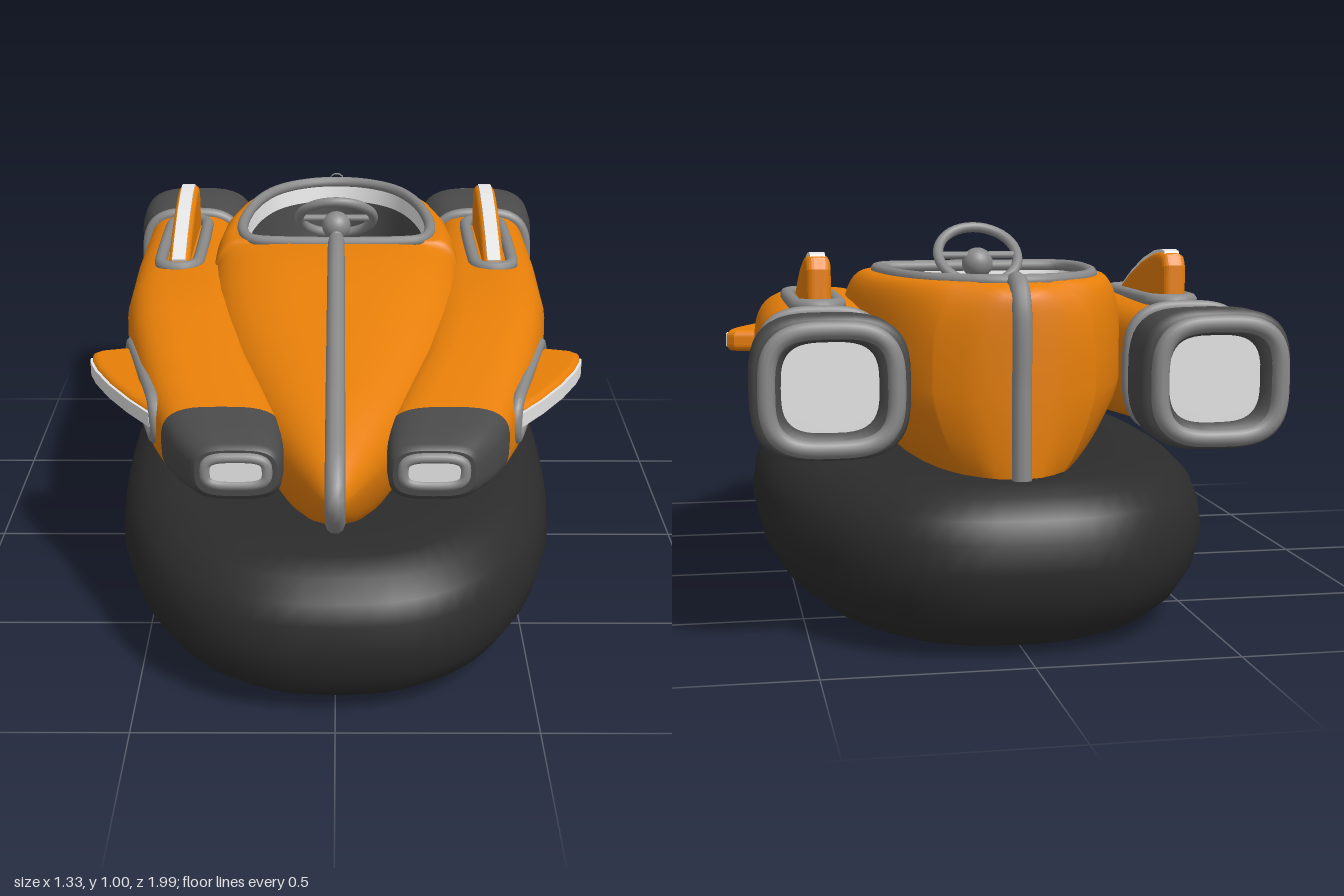
import * as THREE from 'three';

const mat = (name, color, side = THREE.FrontSide) => {
  const m = new THREE.MeshStandardMaterial({ color, side });
  m.name = name;
  return m;
};
const V = (x, y, z) => new THREE.Vector3(x, y, z);

// Skin through a list of equal-length point rings; optional split into two material groups
function loft(rings, closed = true, splitRing = 0) {
  const n = rings[0].length, last = closed ? n : n - 1, index = [];
  for (let i = 0; i < rings.length - 1; i++)
    for (let j = 0; j < last; j++) {
      const k = (j + 1) % n, a = i * n + j, b = i * n + k, c = a + n, d = b + n;
      index.push(a, c, b, b, c, d);
    }
  const g = new THREE.BufferGeometry().setFromPoints(rings.flat());
  g.setIndex(index);
  g.computeVertexNormals();
  if (splitRing) {
    const cut = splitRing * last * 6;
    g.addGroup(0, cut, 0);
    g.addGroup(cut, index.length - cut, 1);
  }
  return g;
}

const power = (v, e) => Math.sign(v) * Math.abs(v) ** e;

// Rounded rectangle ring in an xy plane
function roundRing(z, cx, cy, hw, hh, e = 0.62, n = 40) {
  return Array.from({ length: n }, (_, i) => {
    const t = (i / n) * Math.PI * 2;
    return V(cx + hw * power(Math.cos(t), e), cy + hh * power(Math.sin(t), e), z);
  });
}

// Full oval ring in an xz plane
const oval = (y, rx, rz, e, n = 72) => roundRing(0, 0, 0, rx, rz, e, n).map((p) => V(p.x, y, p.y));

// Straight-sided slot ring in an xz plane
function slot(r, half, n = 32) {
  return Array.from({ length: n }, (_, i) => {
    const t = ((i + 0.5) / n) * Math.PI * 2;
    return V(r * Math.cos(t), 0, r * Math.sin(t) + Math.sign(Math.sin(t)) * half);
  });
}

const tube = (pts, r, closed = true) =>
  new THREE.TubeGeometry(new THREE.CatmullRomCurve3(pts, closed), closed ? 80 : 60, r, 10, closed);
const plate = (ring) => new THREE.ShapeGeometry(new THREE.Shape(ring.map((p) => new THREE.Vector2(p.x, p.y))));

export function createModel() {
  const model = new THREE.Group();
  model.name = 'hovercraft';
  const orange = mat('orange paint', 0xe98009);
  const rubber = mat('black rubber', 0x2c2c2c, THREE.DoubleSide);
  const dark = mat('dark grey', 0x4a4a4a, THREE.DoubleSide);
  const trim = mat('grey trim', 0x8a8a8a);
  const light = mat('light grey', 0xe4e4e4, THREE.DoubleSide);

  const add = (parent, name, geometry, material, x = 0, y = 0, z = 0) => {
    const m = new THREE.Mesh(geometry, material);
    m.name = name;
    m.position.set(x, y, z);
    parent.add(m);
    return m;
  };

  // Inflated skirt: inset and height of each ring, outside up and inside down
  const skirt = [[0.18, 0], [0.12, 0.025], [0.06, 0.075], [0.02, 0.14], [0, 0.22], [0.01, 0.29], [0.03, 0.34],
    [0.075, 0.385], [0.14, 0.41], [0.25, 0.412], [0.4, 0.412], [0.44, 0.4], [0.36, 0.36], [0.29, 0.26], [0.23, 0.12], [0.18, 0]];
  add(model, 'skirt', loft(skirt.map(([d, y]) => oval(y, 0.6 - d, 0.997 - d, 0.8))), rubber);

  // Hull sections: z, half width, top, bottom, cockpit half width, roundness
  const hull = [
    [0.985, 0.006, 0.625, 0.605, 0, 1], [0.96, 0.03, 0.655, 0.575, 0, 1], [0.92, 0.055, 0.68, 0.54, 0, 0.95],
    [0.85, 0.092, 0.705, 0.495, 0, 0.9], [0.75, 0.14, 0.735, 0.445, 0, 0.85], [0.65, 0.187, 0.76, 0.405, 0, 0.8],
    [0.5, 0.245, 0.79, 0.37, 0, 0.74], [0.35, 0.297, 0.82, 0.36, 0, 0.68], [0.2, 0.335, 0.85, 0.36, 0, 0.62],
    [0.05, 0.358, 0.872, 0.36, 0, 0.57], [-0.06, 0.365, 0.88, 0.36, 0, 0.52], [-0.14, 0.365, 0.88, 0.36, 0, 0.47],
    [-0.145, 0.365, 0.88, 0.36, 0.225, 0.6], [-0.17, 0.365, 0.88, 0.36, 0.255, 0.6], [-0.25, 0.363, 0.88, 0.36, 0.275, 0.6],
    [-0.4, 0.35, 0.88, 0.36, 0.268, 0.6], [-0.55, 0.315, 0.88, 0.36, 0.236, 0.6], [-0.65, 0.275, 0.88, 0.36, 0.19, 0.6],
    [-0.71, 0.235, 0.88, 0.36, 0.13, 0.6], [-0.745, 0.205, 0.88, 0.36, 0.05, 0.6], [-0.75, 0.2, 0.88, 0.36, 0, 0.6],
    [-0.79, 0.14, 0.87, 0.36, 0, 0.6], [-0.815, 0.085, 0.855, 0.36, 0, 0.6], [-0.83, 0.0, 0.835, 0.36, 0, 0.6],
  ];
  const hullRings = hull.map(([z, w, top, bottom, r, e]) =>
    Array.from({ length: 49 }, (_, i) => {
      const t = Math.PI / 2 + (i / 48) * Math.PI * 2, s = i < 24 ? -1 : 1;
      const c = Math.abs(Math.cos(t)), v = Math.sin(t);
      const x = v >= 0 ? r + (w - r) * c ** e : w * c ** 0.4 * (1 + 0.35 * v);
      return V(s * x, 0.615 + (v >= 0 ? top - 0.615 : 0.615 - bottom) * power(v, v >= 0 ? e : 0.8), z);
    }));
  add(model, 'hull', loft(hullRings, false), orange);

  // Centre stripe over the nose and down the tail
  add(model, 'noseStripe', tube([V(0, 0.885, -0.13), V(0, 0.882, 0), V(0, 0.85, 0.2), V(0, 0.79, 0.5), V(0, 0.735, 0.75),
    V(0, 0.68, 0.92), V(0, 0.615, 0.975), V(0, 0.54, 0.92), V(0, 0.445, 0.75), V(0, 0.4, 0.64)], 0.024, false), trim);
  add(model, 'tailStripe', tube([V(0, 0.88, -0.75), V(0, 0.873, -0.79), V(0, 0.82, -0.825), V(0, 0.62, -0.83),
    V(0, 0.41, -0.835)], 0.024, false), trim);

  // Cockpit rim, light lining, dark tub and floor
  const edge = hull.filter((s) => s[4] > 0).map((s) => [s[4], s[0]]);
  const rim = [...edge.slice().reverse().map(([x, z]) => V(x, 0.88, z)), ...edge.map(([x, z]) => V(-x, 0.88, z))];
  const outline = new THREE.CatmullRomCurve3(rim, true).getSpacedPoints(64).slice(0, 64);
  const level = (y, s) => outline.map((p) => V(p.x * s, y, (p.z + 0.42) * s - 0.42));
  add(model, 'cockpitRim', tube(rim, 0.016), trim);
  add(model, 'cockpitLining', loft([level(0.88, 0.99), level(0.82, 0.96)]), light);
  add(model, 'cockpitTub', loft([level(0.82, 0.96), level(0.66, 0.9)]), dark);
  const floor = plate(level(0.66, 0.9).map((p) => V(p.x, -p.z, 0))).rotateX(-Math.PI / 2);
  add(model, 'cockpitFloor', floor, dark, 0, 0.66, 0);

  // Steering wheel, facing up and back
  const wheel = new THREE.Group();
  wheel.name = 'steeringWheel';
  wheel.position.set(0, 0.915, -0.25);
  wheel.rotation.x = 0.84;
  model.add(wheel);
  add(wheel, 'wheelRim', new THREE.TorusGeometry(0.108, 0.014, 10, 40), trim);
  add(wheel, 'wheelHub', new THREE.SphereGeometry(0.042, 20, 14), trim, 0, -0.01, 0.02);
  add(wheel, 'wheelSpoke', new THREE.CylinderGeometry(0.01, 0.01, 0.21, 10).rotateZ(Math.PI / 2), trim);
  add(wheel, 'wheelColumn', new THREE.CylinderGeometry(0.018, 0.018, 0.17, 12).rotateX(Math.PI / 2), trim, 0, 0, 0.085);

  // Round-edged fin along z with a base ring and a light leading edge
  const extrudeFin = (pts, depth, bevel) => {
    const shape = new THREE.Shape(pts.map(([u, v]) => new THREE.Vector2(u, v)));
    return new THREE.ExtrudeGeometry(shape, { depth, bevelEnabled: bevel > 0, bevelSize: bevel, bevelThickness: bevel, bevelSegments: 5 })
      .translate(0, 0, -depth / 2).rotateY(-Math.PI / 2);
  };
  const makeFin = (name) => {
    const fin = new THREE.Group();
    fin.name = name;
    const top = [[0.2, -0.01], [0.1, 0.035], [-0.01, 0.074], [-0.11, 0.098], [-0.17, 0.104], [-0.198, 0.1]];
    add(fin, 'finBlade', extrudeFin([...top, [-0.207, 0.085], [-0.208, -0.02], [0.2, -0.02]], 0.022, 0.02), orange);
    const strip = [...top.map(([u, v]) => [u + 0.006, v + 0.026]), ...top.slice().reverse().map(([u, v]) => [u, v + 0.01])];
    add(fin, 'finLeadingEdge', extrudeFin(strip, 0.038, 0), light);
    add(fin, 'finBase', tube(slot(0.054, 0.178), 0.018), trim);
    return fin;
  };

  // Pod sections: z, centre x, centre y, half width, half height
  const pod = [[0.845, 0.235, 0.627, 0.098, 0.06], [0.835, 0.236, 0.627, 0.11, 0.073], [0.76, 0.258, 0.626, 0.135, 0.088],
    [0.68, 0.277, 0.626, 0.152, 0.1], [0.55, 0.315, 0.627, 0.158, 0.122], [0.4, 0.358, 0.632, 0.158, 0.142],
    [0.2, 0.398, 0.642, 0.165, 0.16], [0, 0.42, 0.645, 0.172, 0.167], [-0.3, 0.44, 0.647, 0.16, 0.163], [-0.66, 0.457, 0.65, 0.142, 0.148]];
  // Nozzle sections: z, half width, half height
  const nozzle = [[-0.655, 0.142, 0.142], [-0.68, 0.153, 0.148], [-0.74, 0.174, 0.16], [-0.82, 0.184, 0.168],
    [-0.89, 0.185, 0.168], [-0.915, 0.175, 0.16], [-0.925, 0.13, 0.12], [-0.88, 0.112, 0.104]];

  for (const side of [1, -1]) {
    const s = new THREE.Group();
    s.name = side > 0 ? 'leftPod' : 'rightPod';
    s.scale.x = side;
    model.add(s);
    add(s, 'podBody', loft(pod.map((p) => roundRing(...p)), true, 3), [dark, orange]);
    add(s, 'podNose', plate(roundRing(0, ...pod[0].slice(1))), dark, 0, 0, 0.845);

    // Headlight
    add(s, 'headlightRing', tube(roundRing(0.843, 0.235, 0.632, 0.073, 0.036, 0.6, 24), 0.014), trim);
    add(s, 'headlight', plate(roundRing(0, 0.235, 0.632, 0.07, 0.033)), light, 0, 0, 0.85);

    // Rear nozzle with collar, lip and inner panel
    add(s, 'nozzle', loft(nozzle.map(([z, w, h]) => roundRing(z, 0.458, 0.65, w, h))), dark);
    add(s, 'nozzleCollar', tube(roundRing(-0.657, 0.458, 0.65, 0.148, 0.152, 0.62, 32), 0.018), trim);
    add(s, 'nozzleLip', tube(roundRing(-0.925, 0.458, 0.65, 0.148, 0.136, 0.62, 32), 0.021), trim);
    add(s, 'nozzlePanel', plate(roundRing(0, -0.458, 0.65, 0.114, 0.106)).rotateY(Math.PI), light, 0, 0, -0.882);

    // Upper and side fins
    const upper = makeFin('upperFin');
    upper.position.set(0.455, 0.81, -0.338);
    s.add(upper);
    const outer = makeFin('sideFin');
    outer.position.set(0.506, 0.647, 0.385);
    outer.rotation.set(0, -0.25, -Math.PI / 2, 'YXZ');
    outer.scale.y = 0.92;
    s.add(outer);
  }
  return model;
}
